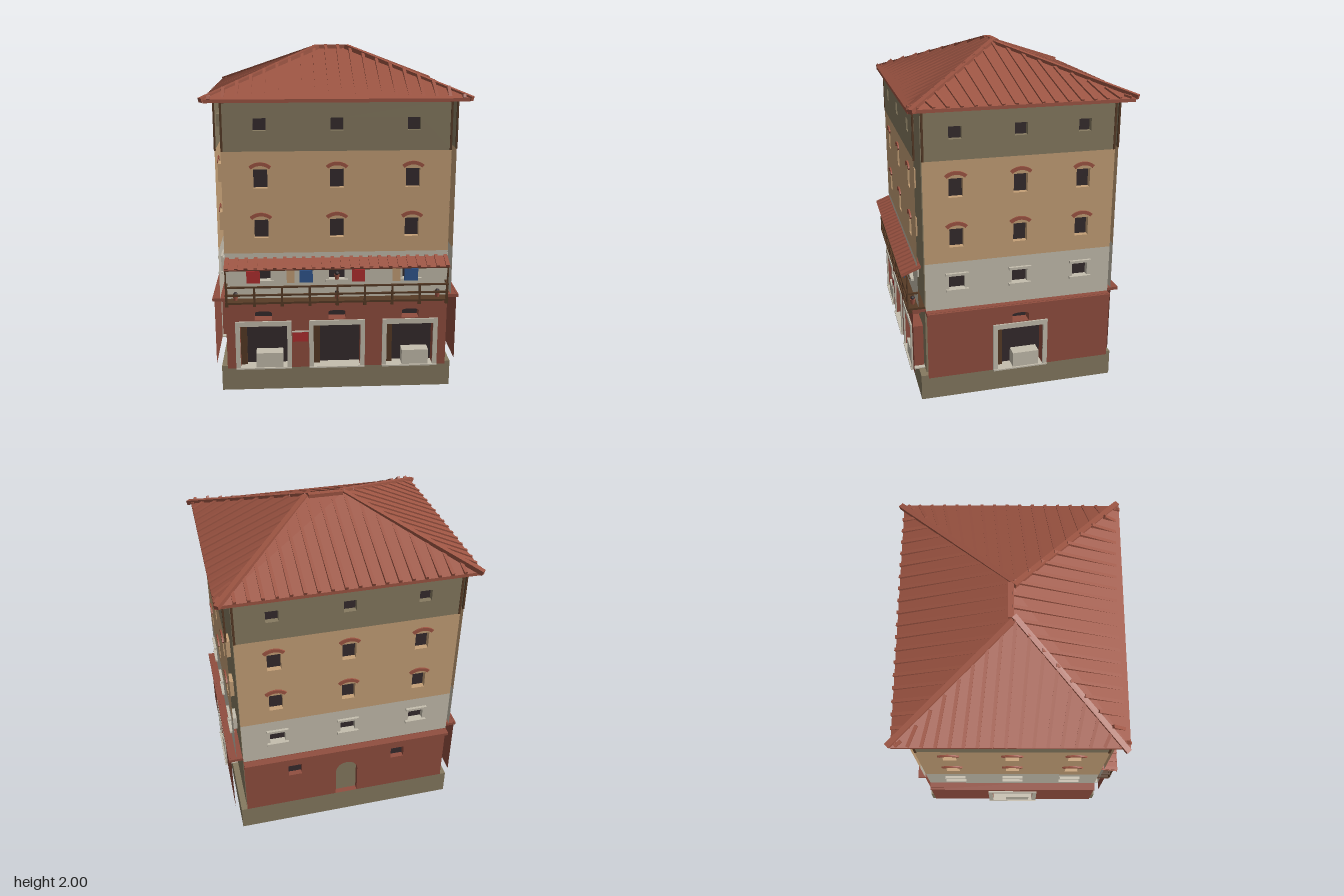
import * as THREE from 'three';

const mat = (name, color, side = THREE.FrontSide) => {
  const m = new THREE.MeshStandardMaterial({ color, side });
  m.name = name;
  return m;
};
const CZ = -0.018; // centre of the house in z

export function createModel() {
  const D = THREE.DoubleSide;
  const stone = mat('olive stone', 0x867a60, D), red = mat('red plaster', 0x914e3f, D);
  const cream = mat('pale limestone', 0xc5beae, D), ochre = mat('ochre plaster', 0xc5a077, D);
  const dark = mat('dark opening', 0x352b2d, D), tile = mat('terracotta tile', 0x9e5543, D);
  const wood = mat('brown timber', 0x573b26), redCloth = mat('red cloth', 0xb23030, D);
  const blueCloth = mat('blue cloth', 0x31578f, D);

  const model = new THREE.Group();
  model.name = 'apartmentHouse';

  const add = (parent, name, geo, m, x = 0, y = 0, z = 0) => {
    const mesh = new THREE.Mesh(geo, m);
    mesh.name = name;
    mesh.position.set(x, y, z);
    parent.add(mesh);
    return mesh;
  };
  // Box given by its limits
  const box = (parent, name, m, x0, x1, y0, y1, z0, z1) =>
    add(parent, name, new THREE.BoxGeometry(x1 - x0, y1 - y0, z1 - z0), m,
      (x0 + x1) / 2, (y0 + y1) / 2, (z0 + z1) / 2);
  // Square bar between two points
  const bar = (parent, name, m, a, b, w, h) => {
    const mesh = add(parent, name, new THREE.BoxGeometry(w, h, a.distanceTo(b)), m);
    mesh.position.copy(a).add(b).multiplyScalar(0.5);
    mesh.lookAt(b);
    return mesh;
  };
  const v = (x, y, z) => new THREE.Vector3(x, y, z);

  // Outline of an opening, optionally with a round or shallow arched head
  const opening = (x, y0, y1, w, rise = 0) => {
    const p = [[x - w / 2, y0], [x + w / 2, y0], [x + w / 2, y1 - rise]];
    if (rise) for (let i = 1; i < 8; i++) {
      const a = Math.PI * i / 8;
      p.push([x + Math.cos(a) * w / 2, y1 - rise + Math.sin(a) * rise]);
    }
    p.push([x - w / 2, y1 - rise]);
    return p.map(q => new THREE.Vector2(...q));
  };

  // Wall skin with openings, standing a distance d off the core
  const wall = (g, name, m, W, y0, y1, d, holes) => {
    const shape = new THREE.Shape(opening(0, y0, y1, W));
    holes.forEach(h => shape.holes.push(new THREE.Path(h.pts)));
    add(g, name, new THREE.ShapeGeometry(shape), m, 0, 0, d);
    holes.forEach(({ pts, back = dark }) => {
      const n = pts.length;
      const strip = new THREE.PlaneGeometry(1, 1, n, 1), pos = strip.attributes.position;
      for (let i = 0; i < pos.count; i++) {
        const p = pts[i % (n + 1) % n];
        pos.setXYZ(i, p.x, p.y, i <= n ? d : 0.002);
      }
      const reveal = strip.toNonIndexed();
      reveal.computeVertexNormals();
      add(g, name + 'Reveal', reveal, m);
      add(g, name + 'Opening', new THREE.ShapeGeometry(new THREE.Shape(pts)), back, 0, 0, 0.003);
    });
  };

  // Brick arch above a window
  const hood = (g, x, top, d) => {
    const s = new THREE.Shape(), a = 0.725;
    s.absarc(0, 0, 0.095, Math.PI / 2 - a, Math.PI / 2 + a, false);
    s.absarc(0, 0, 0.075, Math.PI / 2 + a, Math.PI / 2 - a, true);
    add(g, 'windowArch', new THREE.ExtrudeGeometry(s,
      { depth: 0.012, bevelEnabled: false, curveSegments: 8 }), tile, x, top - 0.095, d - 0.003);
  };

  // Shop door: pale frame, threshold, open shutter and counter
  const shop = (g, x, d, counter) => {
    const s = new THREE.Shape(opening(x, 0.155, 0.45, 0.328, 0));
    s.holes.push(new THREE.Path(opening(x, 0.155, 0.42, 0.275)));
    add(g, 'shopFrame', new THREE.ExtrudeGeometry(s, { depth: 0.012, bevelEnabled: false }),
      cream, 0, 0, d - 0.003);
    box(g, 'threshold', cream, x - 0.164, x + 0.164, 0.152, 0.16, 0, d + 0.015);
    box(g, 'shutter', wood, x - 0.137, x - 0.1, 0.16, 0.405, 0.005, 0.03);
    if (counter) box(g, 'counter', cream, x - 0.045, x + 0.112, 0.16, 0.25, 0.005, d + 0.005);
  };

  // Plinth and core
  box(model, 'plinth', stone, -0.682, 0.682, 0, 0.155, -0.603, 0.567);
  box(model, 'core', stone, -0.645, 0.645, 0.155, 1.725, -0.566, 0.53);

  const sides = [
    ['front', 1.29, v(0, 0, 0.53), 0, [-0.43, 0, 0.43]],
    ['right', 1.096, v(0.645, 0, CZ), Math.PI / 2, [0]],
    ['back', 1.29, v(0, 0, -0.566), Math.PI, []],
    ['left', 1.096, v(-0.645, 0, CZ), -Math.PI / 2, [0]],
  ];
  for (const [name, W, pos, turn, shops] of sides) {
    const g = new THREE.Group();
    g.name = name + 'Side';
    g.position.copy(pos);
    g.rotation.y = turn;
    model.add(g);
    const bays = [-W / 3, 0, W / 3], d = 0.036, dg = shops.length ? 0.07 : 0.037;

    // Ground floor
    const ground = shops.flatMap(x => [
      { pts: opening(x, 0.155, 0.42, 0.275) }, { pts: opening(x, 0.455, 0.512, 0.1, 0.012) }]);
    if (!shops.length) {
      ground.push({ pts: opening(0, 0.155, 0.42, 0.14, 0.07), back: stone });
      for (const x of [-0.33, 0.33]) ground.push({ pts: opening(x, 0.39, 0.47, 0.085) });
    }
    wall(g, 'groundWall', red, W, 0.155, 0.57, dg, ground);
    shops.forEach(x => shop(g, x, dg, name !== 'front' || x !== 0));
    box(g, 'stringCourse', red, -W / 2, W / 2, 0.55, 0.568, 0, 0.083);

    // Pale floor, two ochre floors and the attic floor
    wall(g, 'paleWall', cream, W, 0.57, 0.855, d,
      bays.map(x => ({ pts: opening(x, 0.69, 0.775, 0.092) })));
    wall(g, 'ochreWall', ochre, W, 0.855, 1.445, d,
      bays.flatMap(x => [0.945, 1.235].map(y => ({ pts: opening(x, y, y + 0.108, 0.08) }))));
    wall(g, 'atticWall', stone, W, 1.445, 1.725, d,
      bays.map(x => ({ pts: opening(x, 1.56, 1.63, 0.072) })));
    for (const x of bays) {
      box(g, 'windowLintel', cream, x - 0.065, x + 0.065, 0.775, 0.79, d - 0.01, d + 0.016);
      box(g, 'windowSill', cream, x - 0.065, x + 0.065, 0.678, 0.692, d - 0.01, d + 0.016);
      hood(g, x, 1.095, d);
      hood(g, x, 1.385, d);
    }
    for (const s of [-1, 1])
      box(g, 'cornerPost', wood, s * (W / 2 - 0.006) - 0.006, s * (W / 2 - 0.006) + 0.006,
        1.445, 1.725, d - 0.006, d + 0.004);
  }

  // Hipped roof
  const roof = new THREE.Group();
  roof.name = 'roof';
  roof.position.z = CZ - 0.008;
  model.add(roof);
  const hx = 0.728, hz = 0.628, rx = 0.1, ey = 1.737, ry = 1.985;
  box(roof, 'eaves', tile, -hx, hx, 1.718, ey, -hz, hz);
  for (const s of [-1, 1]) {
    const e = [v(-s * hx, ey, s * hz), v(s * hx, ey, s * hz), v(s * hx, ey, -s * hz)];
    const r = [v(-s * rx, ry, 0), v(s * rx, ry, 0)];
    const slopes = new THREE.BufferGeometry().setFromPoints(
      [e[0], e[1], r[1], e[0], r[1], r[0], e[1], e[2], r[1]]);
    slopes.computeVertexNormals();
    add(roof, 'roofSlopes', slopes, tile);
    // Tile ribs climb from the eaves to the hips
    for (let i = -9.5; i < 10; i++) {
      const u = i * 0.0735, t = Math.min(1, (hx - Math.abs(u)) / (hx - rx));
      bar(roof, 'tileRib', tile, v(u, ey, s * hz),
        v(u, ey + (ry - ey) * t, s * hz * (1 - t)), 0.018, 0.018);
    }
    for (let i = -8; i <= 8; i++) {
      const u = i * 0.0735, t = 1 - Math.abs(u) / hz;
      bar(roof, 'tileRib', tile, v(s * hx, ey, u),
        v(s * (hx - (hx - rx) * t), ey + (ry - ey) * t, u), 0.018, 0.018);
    }
    for (const q of [-1, 1])
      bar(roof, 'hipCap', tile, v(s * (hx + 0.004), ey, q * (hz + 0.004)), v(s * rx, ry, 0), 0.03, 0.026);
  }
  box(roof, 'ridgeCap', tile, -rx, rx, ry - 0.015, 2, -0.016, 0.016);

  // Balcony with railing
  const balcony = new THREE.Group();
  balcony.name = 'balcony';
  model.add(balcony);
  box(balcony, 'balconyFloor', wood, -0.645, 0.645, 0.568, 0.58, 0.53, 0.632);
  for (let i = 0; i <= 8; i++) {
    const x = -0.636 + i * 0.159;
    box(balcony, 'railPost', wood, x - 0.006, x + 0.006, 0.575, 0.675, 0.622, 0.632);
    box(balcony, 'joist', wood, x - 0.009, x + 0.009, 0.55, 0.568, 0.6, 0.628);
  }
  for (const y of [0.622, 0.67])
    box(balcony, 'handrail', wood, -0.645, 0.645, y - 0.005, y + 0.005, 0.622, 0.632);
  for (const s of [-1, 1]) {
    box(balcony, 'endRail', wood, s * 0.639 - 0.006, s * 0.639 + 0.006, 0.665, 0.675, 0.566, 0.63);
    box(balcony, 'awningPost', wood, s * 0.639 - 0.004, s * 0.639 + 0.004, 0.58, 0.785, 0.622, 0.63);
  }
  // Potted plants
  for (const [x, y, z] of [[-0.587, 0.58, 0.59], [0, 0.58, 0.59], [0.587, 0.58, 0.59], [0, 0.692, 0.575]]) {
    add(balcony, 'pot', new THREE.CylinderGeometry(0.016, 0.011, 0.03, 10), tile, x, y + 0.015, z);
    add(balcony, 'plant', new THREE.SphereGeometry(0.013, 8, 6), dark, x, y + 0.036, z);
  }

  // Tiled awning over the balcony
  const top = v(0, 0.826, 0.545), low = v(0, 0.782, 0.655);
  bar(balcony, 'awning', tile, top, low, 1.29, 0.008);
  for (let i = 0; i < 24; i++) {
    const o = v(-0.63 + i * 1.26 / 23, 0.006, 0);
    bar(balcony, 'awningRib', tile, top.clone().add(o), low.clone().add(o), 0.02, 0.014);
  }

  // Washing line
  box(balcony, 'washingLine', wood, -0.64, 0.64, 0.762, 0.766, 0.608, 0.612);
  const cloths = [[-0.52, 0.077, redCloth], [-0.29, 0.044, ochre], [-0.216, 0.075, blueCloth],
    [0.085, 0.075, redCloth], [0.318, 0.047, ochre], [0.387, 0.08, blueCloth]];
  for (const [x, w, m] of cloths) box(balcony, 'cloth', m, x, x + w, 0.69, 0.764, 0.613, 0.617);

  // Hanging shop banner
  box(model, 'banner', redCloth, -0.26, -0.17, 0.32, 0.38, 0.603, 0.608);
  box(model, 'bannerRod', cream, -0.264, -0.166, 0.38, 0.386, 0.6, 0.61);
  return model;
}
